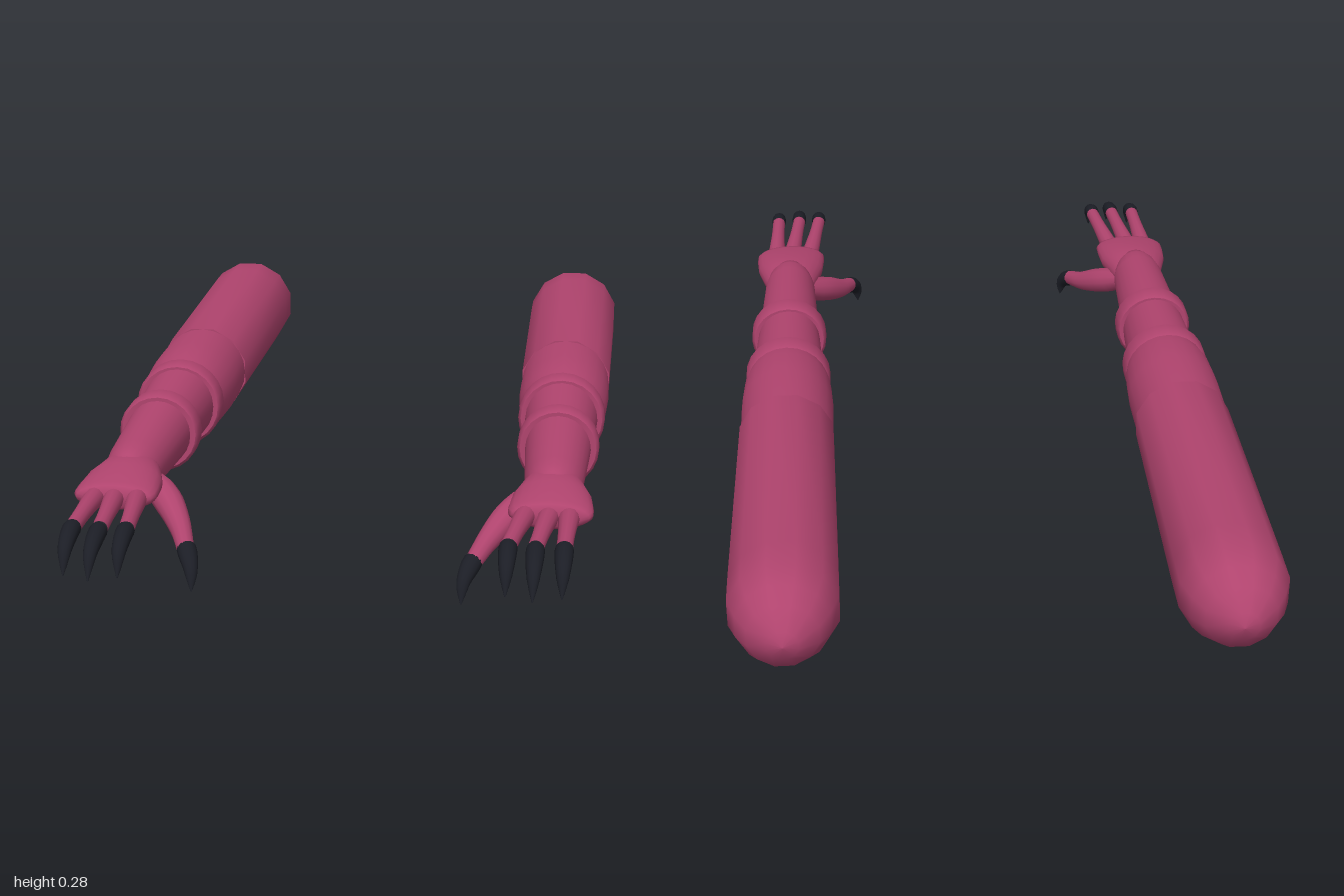
import * as THREE from 'three';

const skin = new THREE.MeshStandardMaterial({ color: 0xb0446e });
skin.name = 'rose skin';
const horn = new THREE.MeshStandardMaterial({ color: 0x1c1e26 });
horn.name = 'dark claw';

// Closed skin through elliptical sections [z, rx, ry, y]; a repeated section makes a sharp edge.
function loft(sections, sides, phase = 0) {
  const pos = [], index = [];
  sections.forEach(([z, rx, ry, y = 0], i) => {
    for (let j = 0; j < sides; j++) {
      const a = phase + (j / sides) * Math.PI * 2;
      pos.push(Math.cos(a) * rx, y + Math.sin(a) * ry, z);
    }
    const last = sections[i - 1];
    if (!last || (last[0] === z && last[1] === rx)) return;
    for (let j = 0; j < sides; j++) {
      const a = (i - 1) * sides + j, b = (i - 1) * sides + ((j + 1) % sides);
      index.push(a, b, a + sides, b, b + sides, a + sides);
    }
  });
  const g = new THREE.BufferGeometry();
  g.setAttribute('position', new THREE.Float32BufferAttribute(pos, 3));
  g.setIndex(index);
  g.computeVertexNormals();
  return g;
}

// Tube along a smooth path whose radius follows evenly spaced values.
function taperedTube(points, radii, steps = 14, sides = 12) {
  const curve = new THREE.CatmullRomCurve3(points.map(p => new THREE.Vector3(...p)));
  const g = new THREE.TubeGeometry(curve, steps, 1, sides);
  const p = g.attributes.position, v = new THREE.Vector3();
  for (let i = 0; i <= steps; i++) {
    const c = curve.getPointAt(i / steps);
    const t = (i / steps) * (radii.length - 1);
    const k = Math.min(Math.floor(t), radii.length - 2);
    const r = THREE.MathUtils.lerp(radii[k], radii[k + 1], t - k);
    for (let j = 0; j <= sides; j++) {
      const n = i * (sides + 1) + j;
      v.fromBufferAttribute(p, n).sub(c).multiplyScalar(r).add(c);
      p.setXYZ(n, v.x, v.y, v.z);
    }
  }
  return g;
}

const round = (list) => list.map(([z, r]) => [z, r, r]);

// Raised cuff with slightly bevelled rims
function cuff(z0, z1, r) {
  const b = 0.006;
  return loft(round([[z0, 0], [z0, r - b], [z0, r - b], [z0 + b, r],
    [z1 - b, r], [z1, r - b], [z1, r - b], [z1, 0]]), 24);
}

// s = 1 builds the left arm, s = -1 the right; local x points outward from the body.
function createArm(s) {
  const arm = new THREE.Group();
  arm.name = s > 0 ? 'leftArm' : 'rightArm';
  arm.position.set(0.442 * s, 0.172, 0);
  const add = (name, geometry, material = skin) => {
    const m = new THREE.Mesh(geometry, material);
    m.name = name;
    arm.add(m);
  };
  const side = (pts) => pts.map(([x, y, z]) => [x * s, y, z]);

  // Upper arm with a domed shoulder
  add('upperArm', loft(round([[-1, 0], [-0.993, 0.032], [-0.962, 0.073], [-0.925, 0.096],
    [-0.88, 0.113], [-0.8, 0.113], [-0.22, 0.107], [-0.22, 0.107], [-0.22, 0]]), 12, Math.PI / 12));

  // Elbow section
  add('elbow', loft(round([[-0.23, 0], [-0.23, 0.103], [-0.23, 0.103], [-0.1, 0.104],
    [-0.02, 0.1], [0.03, 0.091], [0.03, 0.091], [0.03, 0]]), 24));

  // Forearm tapering to a rounded wrist
  add('forearm', loft([[0, 0, 0], [0, 0.085, 0.09], [0, 0.085, 0.09], [0.28, 0.071, 0.075],
    [0.5, 0.061, 0.061], [0.54, 0.054, 0.056], [0.565, 0.038, 0.043, 0.006],
    [0.578, 0.018, 0.02, 0.012], [0.58, 0, 0, 0.012]], 24));
  add('elbowCuff', cuff(0.018, 0.068, 0.098));
  add('forearmCuff', cuff(0.228, 0.277, 0.089));

  // Flattened palm
  add('palm', loft([[0.48, 0, 0], [0.5, 0.05, 0.035], [0.54, 0.065, 0.046], [0.6, 0.081, 0.043],
    [0.65, 0.085, 0.035], [0.68, 0.085, 0.03], [0.695, 0.078, 0.026], [0.702, 0.06, 0.018],
    [0.703, 0, 0]], 24));

  // Three fingers with claws: base x, tip x, forward offset
  [[0.038, 0.034, 0], [0, -0.02, 0.022], [-0.046, -0.072, 0]].forEach(([base, tip, dz]) => {
    const f = 0.874 + dz * 0.2;
    add('finger', taperedTube(side([[base, 0, 0.67], [(base + tip) / 2, 0.004, 0.77],
      [tip, 0.006, f + 0.006]]), [0.017, 0.021, 0.019, 0.017, 0.016, 0.016]));
    add('fingerClaw', taperedTube(side([[tip, 0.006, f - 0.008], [tip, 0.004, f + 0.03],
      [tip, -0.016, f + 0.071 + dz * 0.6], [tip, -0.062, 0.967 + dz]]),
      [0, 0.018, 0.018, 0.017, 0.015, 0.012, 0.007, 0.001]), horn);
  });

  // Thumb reaching inward and down, with its claw
  add('thumb', taperedTube(side([[-0.03, -0.012, 0.52], [-0.085, -0.042, 0.58],
    [-0.125, -0.075, 0.645], [-0.15, -0.098, 0.71]]), [0.02, 0.031, 0.031, 0.026, 0.021, 0.018]));
  add('thumbClaw', taperedTube(side([[-0.145, -0.092, 0.693], [-0.157, -0.106, 0.722],
    [-0.167, -0.13, 0.745], [-0.17, -0.17, 0.76]]),
    [0, 0.02, 0.02, 0.018, 0.015, 0.012, 0.007, 0.001]), horn);
  return arm;
}

export function createModel() {
  const model = new THREE.Group();
  model.name = 'armPair';
  model.add(createArm(1), createArm(-1));
  return model;
}
